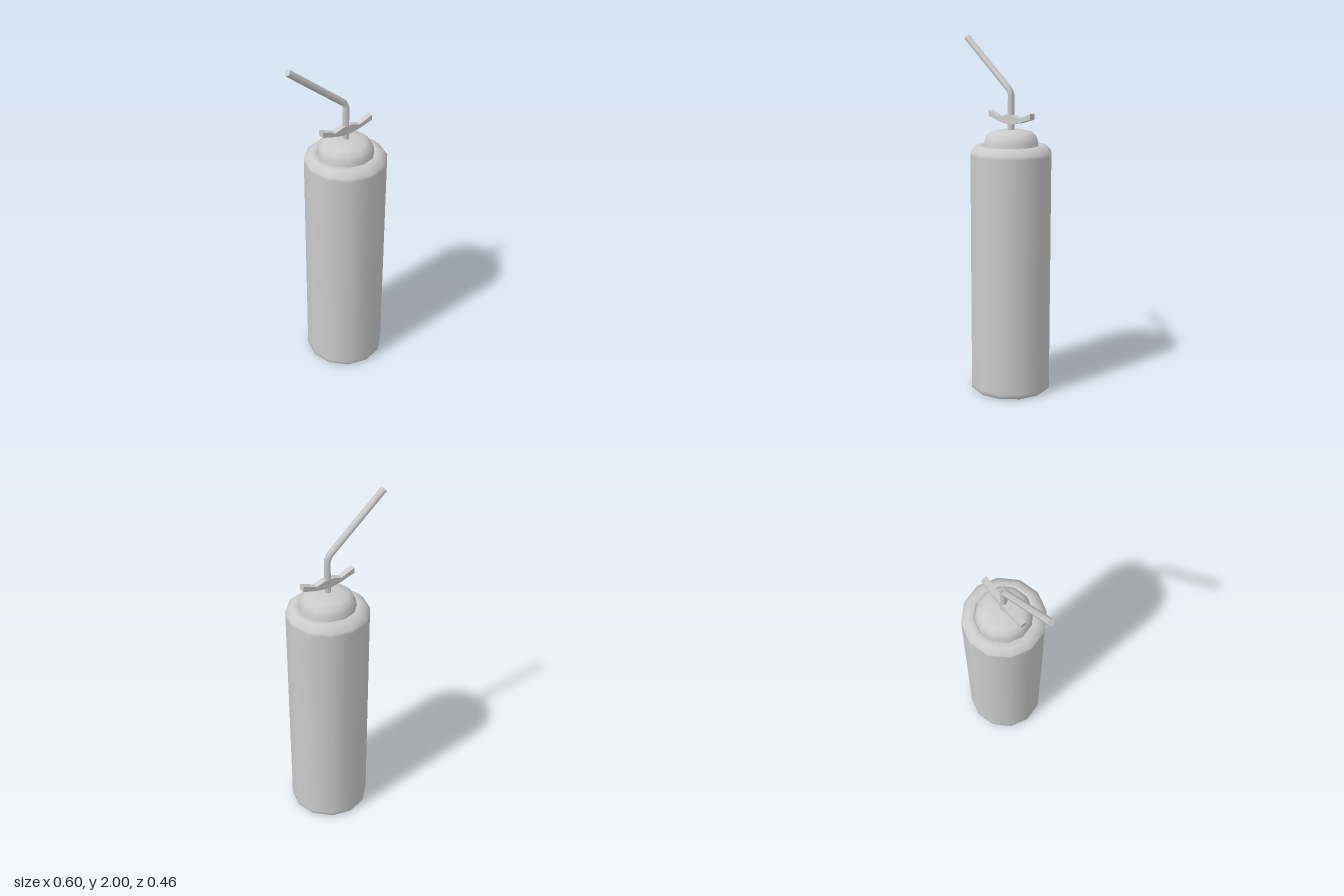
import * as THREE from 'three';

const SIDES = 12;
const AXIS_X = 0.07;

export function createModel() {
  const group = new THREE.Group();
  const material = new THREE.MeshStandardMaterial({ color: 0xcccccc });
  const add = (name, geometry) => {
    const mesh = new THREE.Mesh(geometry, material);
    mesh.name = name;
    mesh.position.x = AXIS_X;
    group.add(mesh);
  };
  const lathe = (profile) =>
    new THREE.LatheGeometry(profile.map(([r, y]) => new THREE.Vector2(r, y)), SIDES);

  // Bottle: repeated points keep the base and shoulder edges crisp
  add('bottleBase', lathe([[0, 0], [0.217, 0]]));
  add('bottleBody', lathe([
    [0.217, 0], [0.229, 0.012], [0.229, 0.03], [0.229, 1.35], [0.229, 1.372],
    [0.195, 1.405], [0.162, 1.405], [0.157, 1.395],
  ]));

  // Domed lid
  add('lid', lathe([
    [0.157, 1.395], [0.153, 1.425], [0.143, 1.452], [0.118, 1.477], [0.065, 1.49], [0, 1.49],
  ]));

  // Winged grip, symmetrical about the straw
  const top = [[-0.162, 1.588], [-0.08, 1.555], [-0.025, 1.572]];
  const bottom = [[-0.162, 1.556], [-0.08, 1.532], [-0.025, 1.522]];
  const mirror = (pts) => pts.map(([x, y]) => [-x, y]).reverse();
  const outline = [...bottom, ...mirror(bottom), ...[...top, ...mirror(top)].reverse()];
  const wing = new THREE.ExtrudeGeometry(
    new THREE.Shape(outline.map(([x, y]) => new THREE.Vector2(x, y))),
    { depth: 0.034, bevelEnabled: false });
  wing.translate(0, 0, -0.017);
  add('wingGrip', wing);

  // Bent straw: each ring of a hexagonal tube is moved to its station [x, y, tilt]
  const stations = [
    [0, 1.45, 0], [0, 1.68, 0], [-0.012, 1.705, 0.45], [-0.03, 1.722, 0.9], [-0.356, 1.984, 0.9],
  ];
  const last = stations.length - 1;
  const straw = new THREE.CylinderGeometry(0.019, 0.019, last, 6, last, false, Math.PI / 2);
  const pos = straw.attributes.position;
  const normal = straw.attributes.normal;
  const up = new THREE.Vector3(0, 0, 1);
  const p = new THREE.Vector3();
  const n = new THREE.Vector3();
  for (let i = 0; i < pos.count; i++) {
    p.fromBufferAttribute(pos, i);
    n.fromBufferAttribute(normal, i);
    const [x, y, tilt] = stations[Math.round(p.y + last / 2)];
    p.setY(0).applyAxisAngle(up, tilt);
    n.applyAxisAngle(up, tilt);
    pos.setXYZ(i, p.x + x, p.y + y, p.z);
    normal.setXYZ(i, n.x, n.y, n.z);
  }
  add('straw', straw);

  return group;
}
